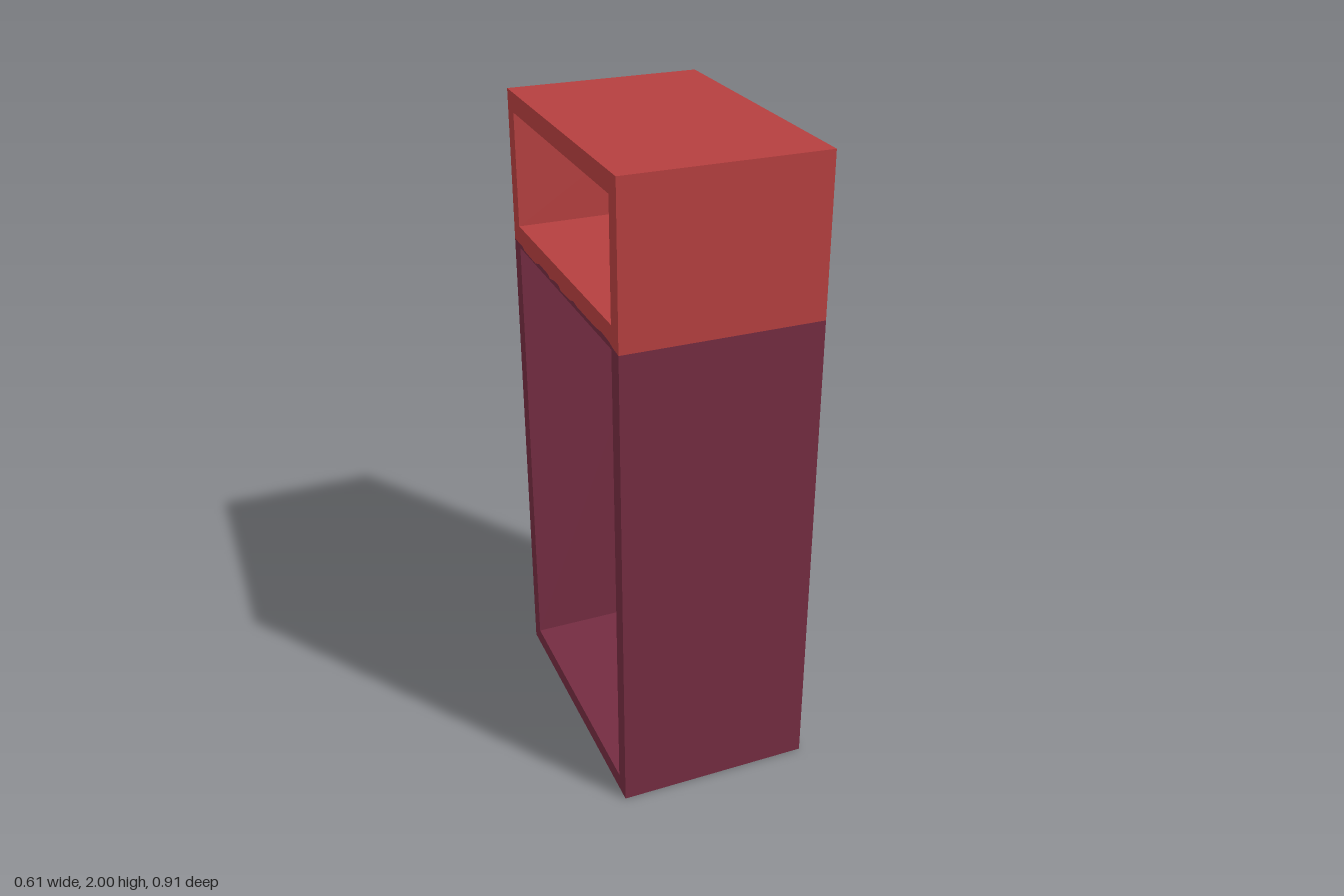
import * as THREE from 'three';

const W = 0.303, H = 2, D = 0.457, T = 0.053; // half width, height, half depth, board thickness
const red = new THREE.MeshStandardMaterial({ name: 'red paint', color: 0xb53f3f });
const maroon = new THREE.MeshStandardMaterial({ name: 'maroon paint', color: 0x742c41 });
const gold = new THREE.MeshStandardMaterial({ name: 'golden wood', color: 0x9c7a2a });

// Uneven paint line between the two colours, as (z, y) from back to front
const paintLine = [
  [-D, 1.53], [-0.38, 1.53], [-0.36, 1.523], [-0.25, 1.521], [-0.21, 1.533], [-0.13, 1.532],
  [-0.11, 1.524], [-0.07, 1.533], [-0.03, 1.533], [-0.01, 1.523], [0.07, 1.526], [0.1, 1.535],
  [0.13, 1.53], [0.28, 1.53], [0.33, 1.536], [0.39, 1.532], [0.41, 1.526], [D, 1.521],
].map(([z, y]) => new THREE.Vector2(z, y));

// Side profile in (z, y), closed by a flat edge at the given height
function profile(edgeY, hole) {
  const pts = [...paintLine, new THREE.Vector2(D, edgeY), new THREE.Vector2(-D, edgeY)];
  const shape = new THREE.Shape(pts);
  if (hole) {
    const [y0, y1] = hole, z = D - T;
    shape.holes.push(new THREE.Path([
      new THREE.Vector2(-z, y0), new THREE.Vector2(z, y0),
      new THREE.Vector2(z, y1), new THREE.Vector2(-z, y1),
    ]));
  }
  return shape;
}

// Extrudes a side profile across the width, from x0 to x1
function board(name, shape, x0, x1, material) {
  const geo = new THREE.ExtrudeGeometry(shape, { depth: x1 - x0, bevelEnabled: false });
  geo.rotateY(-Math.PI / 2).translate(x1, 0, 0);
  const mesh = new THREE.Mesh(geo, material);
  mesh.name = name;
  return mesh;
}

// Round stick between two points
function stick(name, a, b, r) {
  const curve = new THREE.LineCurve3(new THREE.Vector3(...a), new THREE.Vector3(...b));
  const mesh = new THREE.Mesh(new THREE.TubeGeometry(curve, 1, r, 8, false), gold);
  mesh.name = name;
  return mesh;
}

function createHanger() {
  const hanger = new THREE.Group();
  hanger.name = 'hanger';
  const half = 0.306, apex = 0.26;
  const bar = new THREE.Mesh(new THREE.BoxGeometry(half * 2, 0.036, 0.024), gold);
  bar.name = 'hangerBar';
  hanger.add(bar);
  for (const s of [-1, 1]) {
    hanger.add(stick('hangerArm', [s * half, 0, 0], [0, apex, 0], 0.01));
  }
  // Hook curling over the rail
  const hook = new THREE.CatmullRomCurve3([
    [0, apex, 0], [0, 0.285, 0], [0.022, 0.305, 0], [0.012, 0.33, 0], [-0.015, 0.33, 0], [-0.024, 0.31, 0],
  ].map((p) => new THREE.Vector3(...p)));
  const hookMesh = new THREE.Mesh(new THREE.TubeGeometry(hook, 20, 0.006, 6, false), gold);
  hookMesh.name = 'hangerHook';
  hanger.add(hookMesh);
  // Hangs turned at an angle
  hanger.position.set(0, 1.165, 0);
  hanger.rotation.y = Math.atan2(0.24, 0.19);
  return hanger;
}

export function createModel() {
  const model = new THREE.Group();
  model.name = 'wardrobe';
  const inner = W - T;

  // Open carcass with the two compartments
  model.add(board('lowerCarcass', profile(0, [T, 1.517]), -W, inner, maroon));
  model.add(board('upperCarcass', profile(H, [1.587, H - 0.06]), -W, inner, red));

  // Closed panel on the far side
  model.add(board('lowerSidePanel', profile(0), inner, W, maroon));
  model.add(board('upperSidePanel', profile(H), inner, W, red));

  // Rail and hanger in the lower compartment
  model.add(stick('rail', [0, 1.475, -D + T], [0, 1.475, D - T], 0.012));
  model.add(createHanger());
  return model;
}
